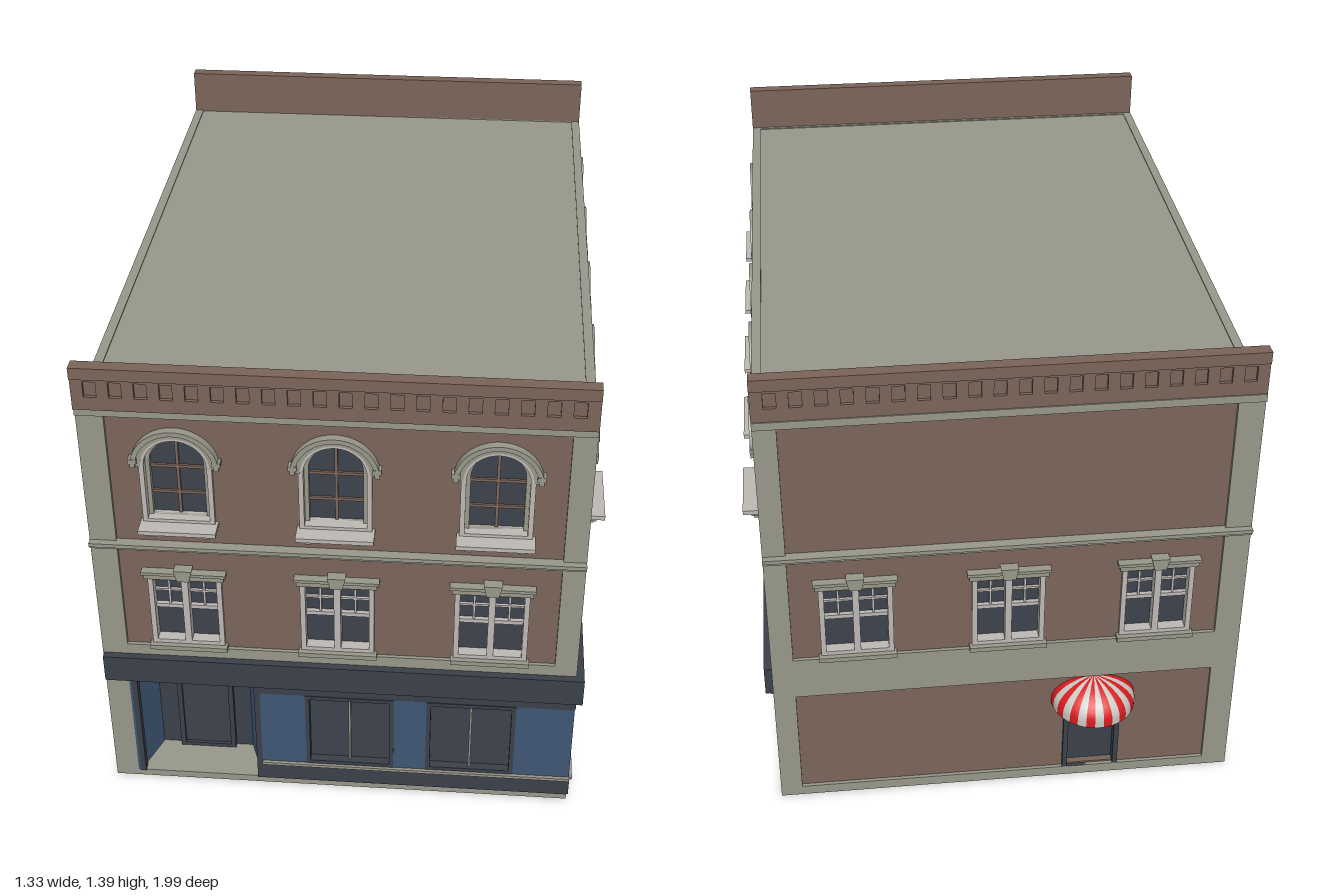
import * as THREE from 'three';

const mat = (name, color, side = THREE.FrontSide) => {
  const m = new THREE.MeshStandardMaterial({ color, side });
  m.name = name;
  return m;
};

export function createModel() {
  const stone = mat('stone', 0x98978a);
  const brick = mat('brick', 0x7a6459);
  const charcoal = mat('charcoal', 0x3b4049);
  const glass = mat('glass', 0x3d424d);
  const blue = mat('blue paint', 0x3f5674);
  const white = mat('pale trim', 0xbdb8b4);
  const red = mat('awning red', 0xd81c20, THREE.DoubleSide);
  const cream = mat('awning pale', 0xc9c8c2, THREE.DoubleSide);

  const model = new THREE.Group();
  model.name = 'building';

  // ---- helpers: everything on a wall is laid out in (x, y) with z pointing out
  const group = (parent, name, x = 0, y = 0, z = 0, ry = 0) => {
    const g = new THREE.Group();
    g.name = name;
    g.position.set(x, y, z);
    g.rotation.y = ry;
    parent.add(g);
    return g;
  };
  const mesh = (parent, name, geo, m) => {
    const o = new THREE.Mesh(geo, m);
    o.name = name;
    parent.add(o);
    return o;
  };
  const box = (parent, name, m, x0, x1, y0, y1, z0, z1) => {
    const o = mesh(parent, name, new THREE.BoxGeometry(x1 - x0, y1 - y0, z1 - z0), m);
    o.position.set((x0 + x1) / 2, (y0 + y1) / 2, (z0 + z1) / 2);
    return o;
  };
  const rect = ([x0, y0, x1, y1]) => new THREE.Shape([[x0, y0], [x1, y0], [x1, y1], [x0, y1]]
    .map(([x, y]) => new THREE.Vector2(x, y)));
  const arch = (cx, w, y0, spring) => {
    const s = new THREE.Shape();
    s.moveTo(cx - w, y0);
    s.lineTo(cx + w, y0);
    s.lineTo(cx + w, spring);
    s.absarc(cx, spring, w, 0, Math.PI, false);
    s.closePath();
    return s;
  };
  const plate = (parent, name, m, outline, holes, z0, z1) => {
    outline.holes = holes;
    const geo = new THREE.ExtrudeGeometry(outline, { depth: z1 - z0, bevelEnabled: false, curveSegments: 14 });
    mesh(parent, name, geo, m).position.z = z0;
  };

  // ---- arched upper window
  const SPRING = 1.1;
  const archedWindow = (wall, x) => {
    const g = group(wall, 'archedWindow', x);
    plate(g, 'archedGlass', glass, arch(0, 0.08, 0.92, SPRING), [], -0.045, -0.037);
    plate(g, 'archedFrame', white, arch(0, 0.093, 0.92, SPRING), [arch(0, 0.08, 0.935, SPRING)], -0.045, 0.002);
    plate(g, 'innerFrame', stone, arch(0, 0.082, 0.925, SPRING), [arch(0, 0.069, 0.935, SPRING)], -0.04, -0.02);
    box(g, 'muntin', brick, -0.004, 0.004, 0.93, 1.17, -0.038, -0.031);
    for (const y of [1.0, 1.08]) box(g, 'muntin', brick, -0.07, 0.07, y - 0.004, y + 0.004, -0.038, -0.031);
    // stepped hood with small feet
    for (const [r0, r1, z] of [[0.088, 0.103, 0.004], [0.1, 0.113, 0.012]]) {
      const hood = new THREE.Shape();
      hood.absarc(0, SPRING, r1, 0, Math.PI, false);
      hood.absarc(0, SPRING, r0, Math.PI, 0, true);
      hood.closePath();
      plate(g, 'hood', stone, hood, [], -0.014, z);
    }
    for (const s of [-1, 1]) {
      box(g, 'hoodFoot', stone, s * 0.106 - 0.011, s * 0.106 + 0.011, SPRING + 0.012, SPRING + 0.026, -0.014, 0.013);
      box(g, 'sillBracket', stone, s * 0.07 - 0.008, s * 0.07 + 0.008, 0.888, 0.905, -0.014, 0.018);
    }
    box(g, 'sillMoulding', stone, -0.09, 0.09, 0.902, 0.915, -0.014, 0.024);
    box(g, 'sill', white, -0.1, 0.1, 0.914, 0.926, -0.045, 0.045);
  };

  // ---- paired sash window
  const sashWindow = (wall, x) => {
    const g = group(wall, 'sashWindow', x);
    box(g, 'sashGlass', glass, -0.094, 0.094, 0.513, 0.742, -0.045, -0.03);
    plate(g, 'sashFrame', white, rect([-0.098, 0.51, 0.098, 0.745]),
      [rect([-0.084, 0.524, -0.009, 0.73]), rect([0.009, 0.524, 0.084, 0.73])], -0.04, 0);
    for (const s of [-1, 1]) {
      const c = s * 0.0465;
      box(g, 'meetingRail', white, c - 0.038, c + 0.038, 0.622, 0.634, -0.03, -0.018);
      box(g, 'sashBar', white, c - 0.003, c + 0.003, 0.63, 0.73, -0.03, -0.022);
      box(g, 'sashBar', white, c - 0.038, c + 0.038, 0.677, 0.683, -0.03, -0.022);
    }
    box(g, 'windowSill', stone, -0.105, 0.105, 0.498, 0.512, -0.014, 0.014);
    box(g, 'lintel', stone, -0.106, 0.106, 0.738, 0.757, -0.014, 0.008);
    box(g, 'lintelCap', stone, -0.112, 0.112, 0.754, 0.763, -0.014, 0.013);
    const key = new THREE.Shape([[-0.016, 0.742], [0.016, 0.742], [0.024, 0.776], [-0.024, 0.776]]
      .map(([a, b]) => new THREE.Vector2(a, b)));
    plate(g, 'keystone', stone, key, [], -0.014, 0.018);
  };

  // ---- one wall: stone frame with recessed brick panels and windows
  const SASH = (x) => rect([x - 0.094, 0.513, x + 0.094, 0.742]);
  const wallOf = (name, x, z, ry, outline, panels, openings = []) => {
    const w = group(model, name, x, 0, z, ry);
    plate(w, 'stoneFrame', stone, rect(outline), [...panels.map((p) => rect(p.at)), ...openings.map(rect)], -0.025, 0);
    for (const p of panels) {
      const [x0, y0, x1, y1] = p.at;
      const holes = [...(p.arched || []).map((c) => arch(c, 0.088, 0.92, SPRING)),
        ...(p.sash || []).map(SASH), ...(p.doors || []).map(rect)];
      plate(w, 'brickPanel', brick, rect([x0 - 0.008, y0 - 0.008, x1 + 0.008, y1 + 0.008]), holes, -0.045, -0.01);
      (p.arched || []).forEach((c) => archedWindow(w, c));
      (p.sash || []).forEach((c) => sashWindow(w, c));
    }
    return w;
  };

  const bays = [-0.43, -0.027, 0.38];
  const front = wallOf('frontWall', 0, 0.95, 0, [-0.67, 0, 0.615, 1.265], [
    { at: [-0.6, 0.5, 0.555, 0.835], sash: bays },
    { at: [-0.6, 0.855, 0.555, 1.245], arched: bays }], [[-0.6, 0.02, 0.603, 0.378]]);
  const back = wallOf('backWall', 0, -0.89, Math.PI, [-0.615, 0, 0.67, 1.265], [
    { at: [-0.555, 0.03, 0.6, 0.37], doors: [[0.195, 0.035, 0.345, 0.31]] },
    { at: [-0.555, 0.5, 0.6, 0.835], sash: bays.map((b) => -b) },
    { at: [-0.555, 0.855, 0.6, 1.245] }]);
  const right = wallOf('sideWall', 0.615, 0, Math.PI / 2, [-0.95, 0, 0.89, 1.265], [
    { at: [-0.885, 0.855, 0.825, 1.24], arched: [-0.743, -0.39, -0.03, 0.32, 0.68] }],
    [[-0.94, 0.03, -0.165, 0.378]]);
  wallOf('plainSideWall', -0.67, 0, -Math.PI / 2, [-0.89, 0, 0.95, 1.265],
    [{ at: [-0.83, 0.86, 0.88, 1.24] }]);
  box(model, 'roof', stone, -0.668, 0.613, 1.245, 1.262, -0.888, 0.948);

  // ---- string courses and parapets at both ends
  for (const [w, s, base] of [[front, 1, 0], [back, -1, -0.01]]) {
    const a = s > 0 ? -0.67 : -0.615, b = s > 0 ? 0.615 : 0.67;
    box(w, 'stringCourse', stone, a, b, 0.835, 0.845, -0.01, 0.01);
    box(w, 'stringCourse', stone, a, b, 0.845, 0.856, -0.01, 0.018);
    box(w, 'stoneCornice', stone, a, b, 1.25, 1.272, -0.01, 0.008);
    const p = group(w, 'parapet', 0, 0, base);
    box(p, 'parapetWall', brick, a, b, 1.262, 1.394, -0.015, 0.006);
    const squares = Array.from({ length: 20 }, (_, i) => {
      const c = s * (-0.623 + i * 0.0626);
      return rect([c - 0.016, 1.31, c + 0.016, 1.354]);
    });
    plate(p, 'parapetFrieze', brick, rect([a, 1.272, b, 1.362]), squares, 0.006, 0.015);
    box(p, 'parapetCap', brick, a, b, 1.362, 1.395, -0.015, 0.02);
  }

  // ---- shopfront: blue piers, dark glazing, base and sill
  const shop = (wall, x0, x1, windows, y0) => {
    const g = group(wall, 'shopfront');
    plate(g, 'bluePiers', blue, rect([x0, 0.08, x1, 0.348]),
      windows.map(([a, b]) => rect([a, 0.092, b, 0.34])), -0.03, 0.003);
    box(g, 'shopFascia', charcoal, x0, x1, 0.347, 0.38, -0.03, 0.005);
    box(g, 'shopBase', charcoal, x0, x1, y0, 0.08, -0.03, 0.005);
    box(g, 'shopSill', stone, x0, x1 + 0.004, 0.08, 0.089, -0.03, 0.012);
    for (const [a, b] of windows) {
      box(g, 'shopGlass', glass, a - 0.01, b + 0.01, 0.085, 0.348, -0.028, -0.018);
      plate(g, 'shopWindowFrame', charcoal, rect([a, 0.09, b, 0.345]),
        [rect([a + 0.012, 0.102, b - 0.012, 0.333])], -0.02, 0.005);
      const c = (a + b) / 2;
      box(g, 'shopMullion', stone, c - 0.003, c + 0.003, 0.1, 0.337, -0.02, -0.006);
    }
  };
  shop(front, -0.245, 0.615, [[-0.12, 0.125], [0.215, 0.46]], 0.022);
  shop(right, -0.953, -0.165, [[-0.825, -0.575], [-0.485, -0.235]], 0.022);

  // ---- recessed entrance with splayed sides
  const entry = group(front, 'entrance');
  const depth = 0.12, splay = 0.045;
  for (const s of [-1, 1]) {
    const side = box(entry, 'entranceSide', blue, -0.006, 0.006, 0.02, 0.375, -0.065, 0.065);
    side.position.set(-0.4225 + s * 0.159, 0.1975, -depth / 2);
    side.rotation.y = s * Math.atan2(splay, depth);
    const post = s < 0 ? -0.592 : -0.253;
    box(entry, 'entrancePost', charcoal, post - 0.008, post + 0.008, 0.02, 0.375, -0.02, 0.003);
  }
  box(entry, 'entranceBack', charcoal, -0.56, -0.285, 0.02, 0.375, -depth - 0.01, -depth);
  box(entry, 'entranceCeiling', charcoal, -0.6, -0.245, 0.368, 0.38, -depth, 0.003);
  box(entry, 'entranceFloor', stone, -0.6, -0.245, 0.01, 0.022, -depth, 0);
  plate(entry, 'doorFrame', charcoal, rect([-0.5, 0.022, -0.34, 0.312]), [rect([-0.486, 0.034, -0.354, 0.298])], -depth, -depth + 0.015);
  box(entry, 'doorPanel', glass, -0.486, -0.354, 0.034, 0.298, -depth, -depth + 0.006);

  // ---- sign band wrapping the corner
  box(model, 'frontSignBand', charcoal, -0.667, 0.636, 0.382, 0.466, 0.945, 0.97);
  box(model, 'sideSignBand', charcoal, 0.61, 0.636, 0.382, 0.466, -0.88, 0.95);
  box(front, 'signLip', stone, -0.667, 0.62, 0.376, 0.383, -0.01, 0.012);
  box(right, 'signLip', stone, -0.95, 0.88, 0.378, 0.383, -0.01, 0.008);

  // ---- back door with striped quarter-dome awning
  box(back, 'backDoor', charcoal, 0.195, 0.345, 0.035, 0.31, -0.04, -0.028);
  plate(back, 'backDoorFrame', charcoal, rect([0.19, 0.03, 0.35, 0.315]), [rect([0.204, 0.03, 0.336, 0.3])], -0.03, 0);
  const awning = group(back, 'awning', 0.27, 0.295, -0.008);
  const stripes = 15;
  for (let i = 0; i < stripes; i++) {
    const step = Math.PI / stripes, m = i % 2 ? cream : red;
    const dome = mesh(awning, 'awningStripe', new THREE.SphereGeometry(1, 2, 8, i * step, step, 0, Math.PI / 2), m);
    dome.scale.set(0.117, 0.073, 0.117);
    const flap = mesh(awning, 'awningValance',
      new THREE.CylinderGeometry(0.117, 0.117, 0.018, 2, 1, true, -Math.PI / 2 + (stripes - 1 - i) * step, step), m);
    flap.position.y = -0.009;
  }
  return model;
}
